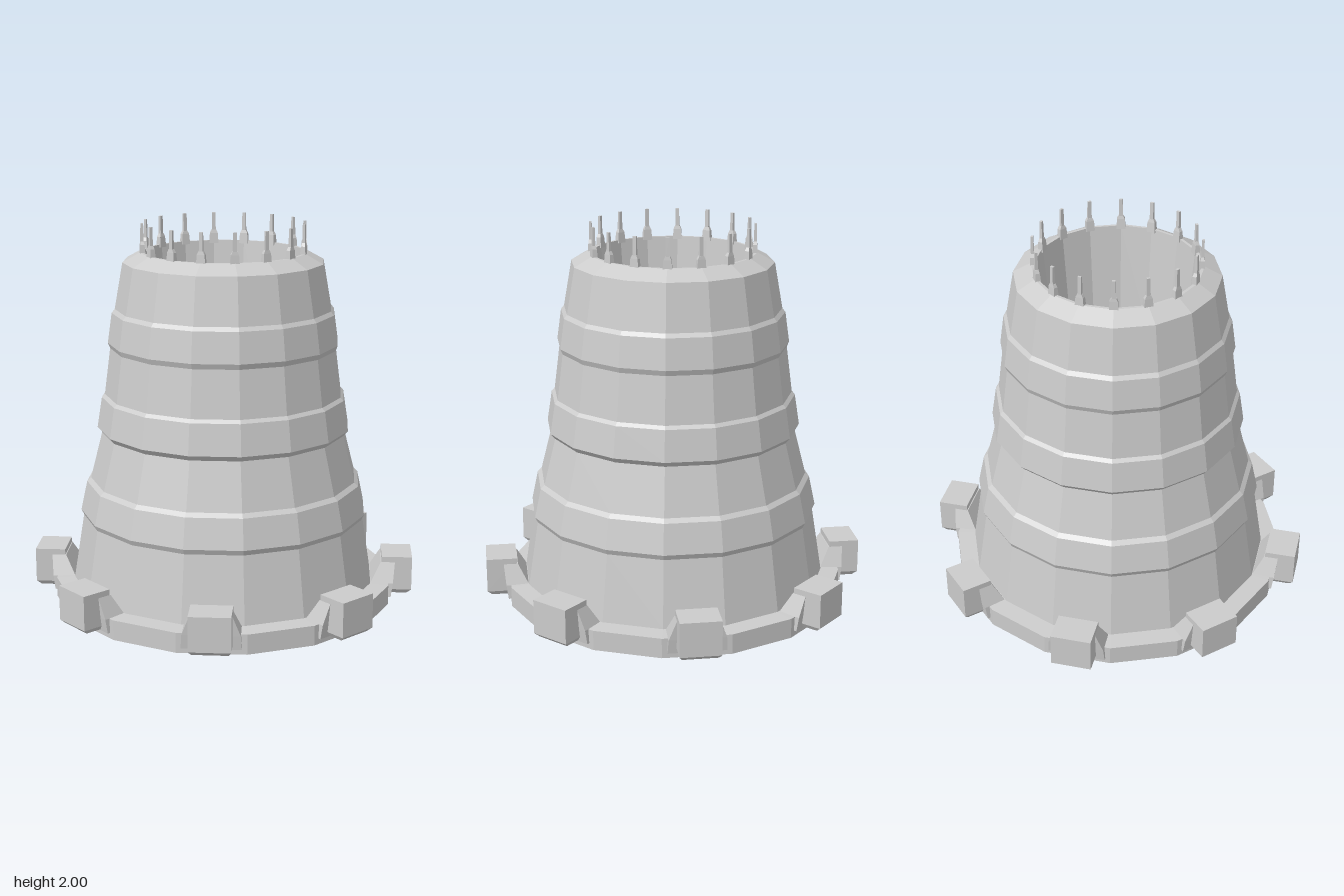
import * as THREE from 'three';

const SIDES = 16;
const STEP = (Math.PI * 2) / SIDES;
const material = new THREE.MeshStandardMaterial({ color: 0xcccccc, flatShading: true });

function flatMesh(name, geometry) {
  const g = geometry.toNonIndexed();
  g.computeVertexNormals();
  const mesh = new THREE.Mesh(g, material);
  mesh.name = name;
  return mesh;
}

// 16-sided ring profile; radii are measured to the middle of the flat faces
function facetedLathe(name, profile) {
  const k = 1 / Math.cos(STEP / 2);
  const points = profile.map(([r, y]) => new THREE.Vector2(r * k, y));
  return flatMesh(name, new THREE.LatheGeometry(points, SIDES, STEP / 2));
}

// Stack of rectangles, bottom to top: [y, innerZ, outerZ, halfWidth]
function stackedBox(name, levels) {
  const n = levels.length - 1;
  const g = new THREE.BoxGeometry(1, 1, 1, 1, n, 1);
  const p = g.attributes.position;
  for (let i = 0; i < p.count; i++) {
    const [y, inner, outer, half] = levels[Math.round((p.getY(i) + 0.5) * n)];
    p.setXYZ(i, Math.sign(p.getX(i)) * half, y, p.getZ(i) > 0 ? outer : inner);
  }
  return flatMesh(name, g);
}

// Repeats a part built facing +z around the vertical axis
function ring(name, count, offset, build) {
  const group = new THREE.Group();
  group.name = name;
  for (let i = 0; i < count; i++) {
    const part = build();
    part.rotation.y = offset + (i * Math.PI * 2) / count;
    group.add(part);
  }
  return group;
}

function buildClamp() {
  const clamp = new THREE.Group();
  clamp.name = 'clamp';
  clamp.add(
    // Chamfered outer block
    stackedBox('clampBlock', [
      [0.035, 0.86, 0.985, 0.09],
      [0.058, 0.85, 1.01, 0.105],
      [0.24, 0.85, 1.01, 0.105],
    ]),
    // Flared foot joining the block to the base ring
    stackedBox('clampFoot', [
      [0.03, 0.78, 0.9, 0.15],
      [0.105, 0.79, 0.91, 0.145],
      [0.21, 0.845, 0.92, 0.105],
    ])
  );
  return clamp;
}

function buildSpike() {
  const spike = new THREE.Group();
  spike.name = 'spike';
  spike.add(
    stackedBox('spikeFoot', [
      [1.835, 0.405, 0.435, 0.024],
      [1.89, 0.41, 0.432, 0.02],
      [1.907, 0.414, 0.43, 0.012],
    ]),
    stackedBox('spikeRod', [
      [1.9, 0.414, 0.43, 0.01],
      [2.0, 0.416, 0.428, 0.009],
    ])
  );
  return spike;
}

export function createModel() {
  const model = new THREE.Group();
  model.name = 'bandedTower';

  // Base ring, tapering wall with three raised bands, rim and hollow top
  model.add(facetedLathe('towerBody', [
    [0, 0], [0.885, 0], [0.885, 0.105], [0.79, 0.11],
    [0.735, 0.457], [0.748, 0.485], [0.715, 0.64], [0.694, 0.66],
    [0.632, 0.907], [0.655, 0.935], [0.63, 1.095], [0.614, 1.112],
    [0.583, 1.355], [0.594, 1.383], [0.572, 1.54], [0.556, 1.56],
    [0.514, 1.8], [0.425, 1.85], [0.41, 1.85], [0.36, 1.3], [0, 1.3],
  ]));

  // Eight clamps on every second face of the base ring
  model.add(ring('clamps', 8, STEP, buildClamp));
  // One spike at each corner of the rim
  model.add(ring('spikes', SIDES, STEP / 2, buildSpike));
  return model;
}
